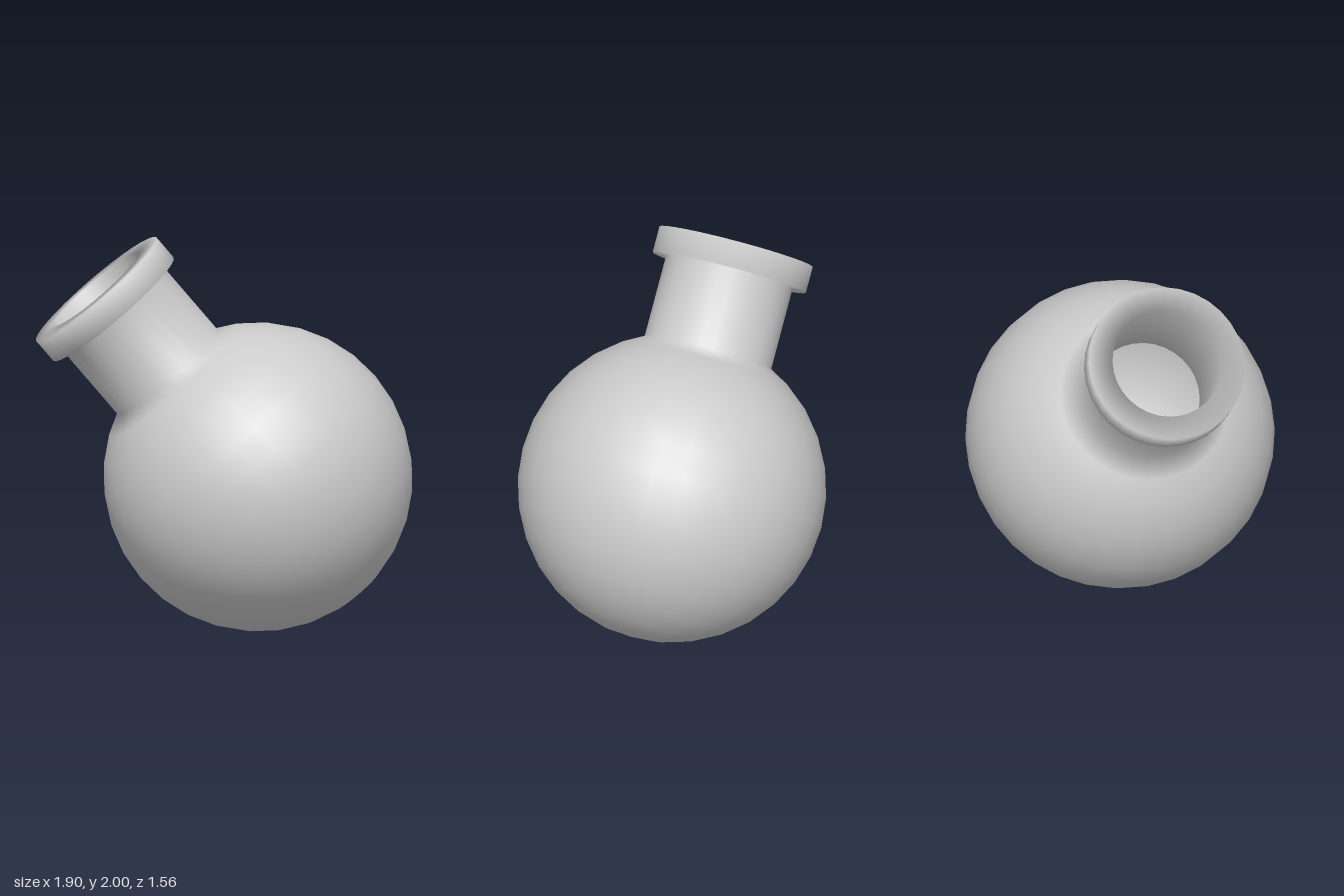
import * as THREE from 'three';

const SIDES = 32;
const STEP = Math.PI / 16;
const TILT = 0.704;
const CENTRE = [0.17, 0.78, 0];

// Points of a bulb's side from the bottom pole up to where the neck cuts it
function bulbArc(radius, neckRadius) {
  const points = [];
  const neckAngle = Math.asin(neckRadius / radius);
  for (let i = 16; i >= 3; i--) {
    const a = i * STEP;
    points.push(new THREE.Vector2(i === 16 ? 0 : radius * Math.sin(a), radius * Math.cos(a)));
  }
  points.push(new THREE.Vector2(neckRadius, radius * Math.cos(neckAngle)));
  return points;
}

export function createModel() {
  const group = new THREE.Group();
  group.name = 'roundFlask';

  // Hollow shell: outer bulb and neck, square rim, then back down the inside
  const rim = [[0.33, 1.127], [0.4, 1.127], [0.4, 1.26], [0.28, 1.26]]
    .map(([r, y]) => new THREE.Vector2(r, y));
  const profile = [
    ...bulbArc(0.78, 0.33),
    ...rim,
    ...bulbArc(0.73, 0.28).reverse(),
  ];

  const flask = new THREE.Mesh(
    new THREE.LatheGeometry(profile, SIDES),
    new THREE.MeshStandardMaterial({ color: 0xcccccc })
  );
  flask.name = 'flaskShell';

  // The whole shell leans so the mouth points up to one side
  flask.rotation.z = TILT;
  flask.position.set(...CENTRE);
  group.add(flask);
  return group;
}
